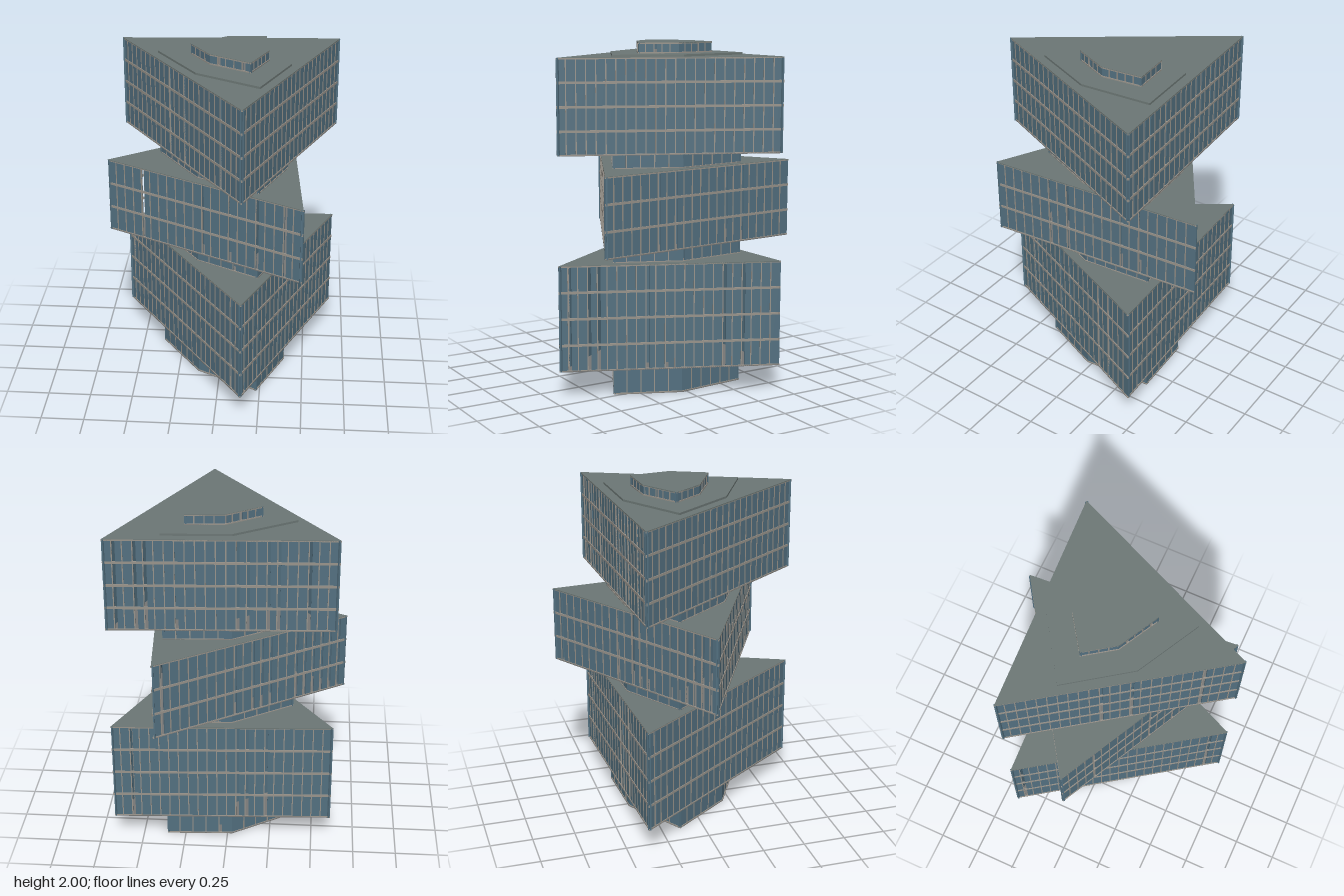
import * as THREE from 'three';
import { mergeGeometries } from 'three/addons/utils/BufferGeometryUtils.js';

const mat = (name, color) => {
  const m = new THREE.MeshStandardMaterial({ color });
  m.name = name;
  return m;
};

// Plans as [x, z] corners
const TRI_A = [[-0.61, -0.39], [0.665, -0.455], [0.15, 0.7]];
const TRI_B = [[0.385, -0.705], [0.48, 0.58], [-0.67, -0.01]];
const CORE = [[-0.03, -0.365], [0.36, -0.385], [0.39, 0.03], [0.23, 0.395], [-0.13, 0.205], [-0.375, -0.14]];
const CAP = [[0.02, -0.24], [0.24, -0.255], [0.265, -0.015], [0.17, 0.195], [-0.065, 0.07], [-0.185, -0.1]];

export function createModel() {
  const model = new THREE.Group();
  model.name = 'tower';
  const roof = mat('roof grey', 0x6c7775);
  const soffit = mat('soffit grey', 0x777775);
  const glass = mat('blue glass', 0x537080);
  const frame = mat('frame grey', 0x98938b);

  let seed = 7;
  const rand = () => {
    seed = (seed * 16807) % 2147483647;
    return seed / 2147483647;
  };

  function add(parent, name, geometry, material) {
    const mesh = new THREE.Mesh(geometry, material);
    mesh.name = name;
    parent.add(mesh);
  }

  // Horizontal slab from a plan
  function slab(plan, y, h) {
    const shape = new THREE.Shape(plan.map(([x, z]) => new THREE.Vector2(x, -z)));
    return new THREE.ExtrudeGeometry(shape, { depth: h, bevelEnabled: false })
      .rotateX(-Math.PI / 2).translate(0, y, 0);
  }

  // Glazed storeys between two slabs; narrow slots are left open beside some panes
  function block(name, plan, y0, y1, floors, bay, slotChance) {
    const group = new THREE.Group();
    group.name = name;
    const panes = [], bars = [];
    const cx = plan.reduce((s, p) => s + p[0], 0) / plan.length;
    const cz = plan.reduce((s, p) => s + p[1], 0) / plan.length;
    const t = 0.008;

    plan.forEach((a, i) => {
      const b = plan[(i + 1) % plan.length];
      const dx = b[0] - a[0], dz = b[1] - a[1], len = Math.hypot(dx, dz);
      const ux = dx / len, uz = dz / len;
      let nx = uz, nz = -ux;
      if (nx * (a[0] - cx) + nz * (a[1] - cz) < 0) { nx = -nx; nz = -nz; }
      // Box on this wall, spanning u0..u1 along it, with its outer face set back by inset
      const piece = (u0, u1, v0, v1, inset) => {
        const u = (u0 + u1) / 2, d = inset + t / 2;
        return new THREE.BoxGeometry(u1 - u0, v1 - v0, t)
          .rotateY(Math.atan2(-uz, ux))
          .translate(a[0] + ux * u - nx * d, (v0 + v1) / 2, a[1] + uz * u - nz * d);
      };

      const n = Math.max(2, Math.round(len / bay)), w = len / n;
      for (let k = 0; k < n; k++) {
        const slot = rand() < slotChance ? 0.016 : 0;
        panes.push(piece(k * w, (k + 1) * w - slot, y0, y1, 0.004));
        if (k > 0) bars.push(piece(k * w, k * w + 0.006, y0, y1, 0.001));
      }
      // Floor bands, thinner at the top and bottom edges
      for (let f = 0; f <= floors; f++) {
        const y = y0 + (y1 - y0) * f / floors;
        const lo = f === 0 ? y : y - 0.007, hi = f === floors ? y : y + 0.007;
        bars.push(piece(0, len, lo, hi, 0));
      }
    });
    add(group, 'glassPanes', mergeGeometries(panes), glass);
    add(group, 'frames', mergeGeometries(bars), frame);
    add(group, 'soffit', slab(plan, y0 - 0.002, 0.006), soffit);
    add(group, 'roof', slab(plan, y1 - 0.004, 0.006), roof);
    model.add(group);
  }

  // Recessed core, showing between the blocks
  block('coreBase', CORE, 0.002, 0.155, 1, 0.075, 0.12);
  block('coreLowerNeck', CORE, 0.77, 0.855, 1, 0.075, 0.12);
  block('coreUpperNeck', CORE, 1.305, 1.39, 1, 0.075, 0.12);
  add(model, 'coreShaft', slab(CORE.map(([x, z]) => [x * 0.8 + 0.01, z * 0.8]), 0.01, 1.91), glass);

  // Three twisted triangular blocks
  block('lowerBlock', TRI_A, 0.16, 0.77, 4, 0.055, 0.22);
  block('middleBlock', TRI_B, 0.855, 1.305, 3, 0.058, 0.25);
  block('upperBlock', TRI_A, 1.39, 1.925, 4, 0.055, 0.22);

  // Roof plinth and small penthouse
  add(model, 'roofPlinth', slab(CORE, 1.925, 0.014), roof);
  block('penthouse', CAP, 1.939, 1.998, 1, 0.05, 0.12);
  return model;
}
